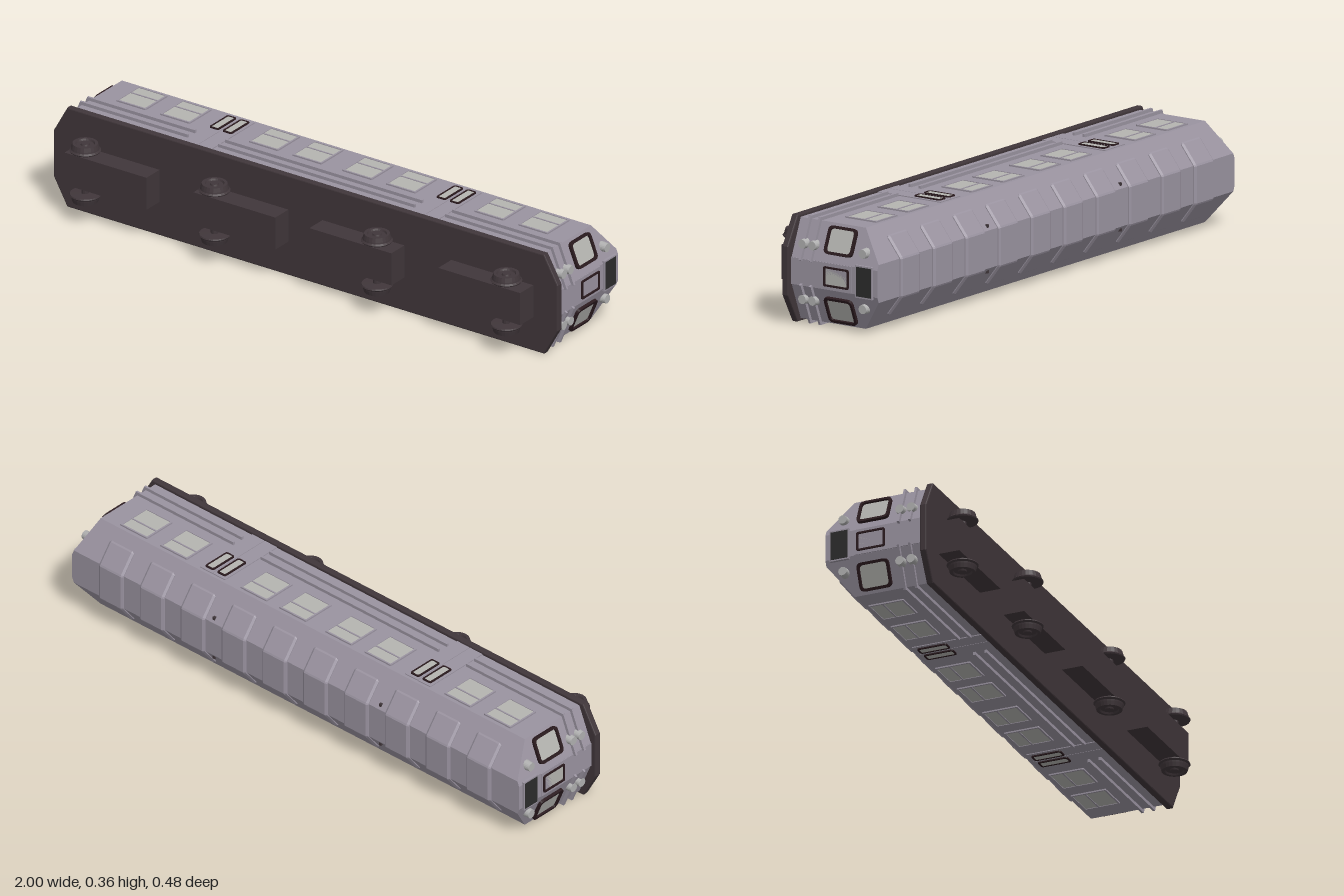
import * as THREE from 'three';
import { ConvexGeometry } from 'three/addons/geometries/ConvexGeometry.js';

const mat = (color) => new THREE.MeshStandardMaterial({ color, flatShading: true });
const bodyMat = mat(0x9a93a0), darkMat = mat(0x40363a), frameMat = mat(0x2a1a1e);
const paneMat = mat(0xb4b4b0), signMat = mat(0x2b2b2b), lampMat = mat(0xb0b0b0);

function add(parent, name, geometry, material, x = 0, y = 0, z = 0) {
  const mesh = new THREE.Mesh(geometry, material);
  mesh.name = name;
  mesh.position.set(x, y, z);
  parent.add(mesh);
  return mesh;
}
const box = (parent, name, material, size, pos) =>
  add(parent, name, new THREE.BoxGeometry(...size), material, ...pos);

function group(parent, name, x = 0, y = 0, z = 0, turn = 0) {
  const g = new THREE.Group();
  g.name = name;
  g.position.set(x, y, z);
  g.rotation.y = turn;
  parent.add(g);
  return g;
}

// Rounded rectangle centred on the origin
function roundRect(Type, w, h, r) {
  const s = new Type(), a = w / 2, b = h / 2;
  s.moveTo(-a + r, -b);
  s.lineTo(a - r, -b); s.quadraticCurveTo(a, -b, a, -b + r);
  s.lineTo(a, b - r); s.quadraticCurveTo(a, b, a - r, b);
  s.lineTo(-a + r, b); s.quadraticCurveTo(-a, b, -a, b - r);
  s.lineTo(-a, -b + r); s.quadraticCurveTo(-a, -b, -a + r, -b);
  return s;
}

// Framed pane facing +z of its parent
function framedPane(parent, name, x, y, w, h, t, r, depth, frame) {
  const g = group(parent, name, x, y, 0);
  const shape = roundRect(THREE.Shape, w, h, r);
  shape.holes.push(roundRect(THREE.Path, w - 2 * t, h - 2 * t, r * 0.7));
  add(g, 'frame', new THREE.ExtrudeGeometry(shape, { depth, bevelEnabled: false, curveSegments: 4 }), frame);
  box(g, 'pane', paneMat, [w - t, h - t, 0.004], [0, 0, 0.001]);
  return g;
}

const HALF = 0.168;           // half width of the body
const NOSE = 0.98, CORNER = 0.93, NOSE_HALF = 0.045;

function addBody(car) {
  const pts = [];
  for (const sx of [-1, 1]) for (const sz of [-1, 1]) {
    for (const [x, y, z] of [
      [CORNER, -0.112, HALF], [CORNER, 0.15, HALF], [0.9727, 0.232, 0.063],
      [NOSE, 0.232, NOSE_HALF], [NOSE, -0.112, NOSE_HALF],
    ]) pts.push(new THREE.Vector3(sx * x, y, sz * z));
  }
  add(car, 'body', new ConvexGeometry(pts), bodyMat);

  // Floor slab with chamfered corners and a small edge bevel
  const floor = new THREE.Shape([
    [-0.996, -0.08], [-0.943, -0.174], [0.943, -0.174], [0.996, -0.08],
    [0.996, 0.08], [0.943, 0.174], [-0.943, 0.174], [-0.996, 0.08],
  ].map(([x, y]) => new THREE.Vector2(x, y)));
  const geo = new THREE.ExtrudeGeometry(floor, { depth: 0.016, bevelThickness: 0.004, bevelSize: 0.004, bevelSegments: 2 });
  geo.rotateX(-Math.PI / 2);
  add(car, 'floor', geo, darkMat, 0, -0.131, 0);
}

// Raised panels that wrap over the roof
function addRoof(car) {
  const half = [[0.118, 0.170], [0.134, 0.183], [0.131, 0.189], [0.068, 0.238], [0.062, 0.241]];
  const outline = [...half, ...half.map(([z, y]) => [-z, y]).reverse()];
  const shape = new THREE.Shape(outline.map(([z, y]) => new THREE.Vector2(z, y)));
  for (let i = 0; i < 10; i++) {
    const geo = new THREE.ExtrudeGeometry(shape, {
      depth: 0.09, bevelThickness: 0.008, bevelSize: 0.005, bevelOffset: -0.005, bevelSegments: 1,
    });
    geo.translate(0, 0, -0.045).rotateY(Math.PI / 2);
    add(car, 'roofPanel', geo, bodyMat, (i - 4.5) * 0.179, 0, 0);
  }
  for (const x of [-0.365, 0.365]) for (const s of [-1, 1])
    box(car, 'roofLamp', darkMat, [0.01, 0.01, 0.01], [x, 0.222, s * 0.076]);
}

// Long wall: windows, double doors and ribs, facing +z
function addSide(car, turn, s) {
  const side = group(car, 'side', 0, 0, s * HALF, turn);
  for (const x of [-0.797, -0.622, -0.272, -0.1, 0.1, 0.272, 0.622, 0.797]) {
    const w = framedPane(side, 'window', x, 0.075, 0.117, 0.125, 0.006, 0.004, 0.005, bodyMat);
    box(w, 'sash', bodyMat, [0.11, 0.005, 0.004], [0, 0.012, 0.003]);
  }
  for (const x of [-0.45, 0.45]) {
    const door = group(side, 'door', x);
    for (const d of [-1, 1]) {
      box(door, 'leaf', bodyMat, [0.054, 0.25, 0.006], [d * 0.028, 0.014, 0]);
      const w = framedPane(door, 'doorWindow', d * 0.026, 0.075, 0.037, 0.105, 0.006, 0.008, 0.004, frameMat);
      w.position.z = 0.003;
    }
  }
  for (const y of [-0.03, -0.07])
    for (const [a, b] of [[-0.938, -0.51], [-0.39, 0.39], [0.51, 0.938]])
      box(side, 'rib', bodyMat, [b - a, 0.008, 0.02], [(a + b) / 2, y, 0.001]);
}

// Car end with a flat middle and two angled faces, pointing along +x
function addEnd(car, turn) {
  const end = group(car, 'end', 0, 0, 0, turn);
  const middle = group(end, 'middle', NOSE, 0, 0, Math.PI / 2);
  box(middle, 'endDoor', bodyMat, [0.089, 0.24, 0.006], [0, 0.008, 0]);
  framedPane(middle, 'endWindow', 0, 0.07, 0.066, 0.1, 0.006, 0.006, 0.008, frameMat);
  box(middle, 'signFrame', bodyMat, [0.108, 0.068, 0.012], [0, 0.181, 0]);
  box(middle, 'sign', signMat, [0.098, 0.06, 0.014], [0, 0.181, 0]);

  const angle = Math.atan2(HALF - NOSE_HALF, NOSE - CORNER);
  for (const s of [-1, 1]) {
    const face = group(end, 'angledFace', (NOSE + CORNER) / 2, 0, s * (HALF + NOSE_HALF) / 2,
      s > 0 ? angle : Math.PI - angle);
    framedPane(face, 'cornerWindow', -s * 0.008, 0.069, 0.095, 0.113, 0.009, 0.018, 0.01, frameMat);
    for (const y of [-0.03, -0.07])
      box(face, 'endRib', bodyMat, [0.148, 0.008, 0.022], [0, y, 0]);
    for (const y of [-0.03, -0.07, 0.172]) {
      const lamp = new THREE.CylinderGeometry(0.015, 0.018, 0.036, 20);
      lamp.rotateZ(-Math.PI / 2);
      add(end, 'headlight', lamp, lampMat, 0.962, y, s * 0.092);
    }
  }
}

// Underframe box with one axle and two flanged wheels
function addTruck(car, boxX, wheelX) {
  const truck = group(car, 'truck');
  box(truck, 'truckBox', darkMat, [0.325, 0.076, 0.115], [boxX, -0.17, 0]);
  const axle = new THREE.CylinderGeometry(0.0125, 0.0125, 0.17, 12).rotateX(Math.PI / 2);
  add(truck, 'axle', axle, darkMat, wheelX, -0.189, 0);
  const profile = [[0, 0.074], [0.05, 0.076], [0.052, 0.08], [0.047, 0.085], [0.046, 0.09],
    [0.042, 0.104], [0.032, 0.104], [0.029, 0.098], [0.015, 0.098], [0.013, 0.103], [0, 0.103]]
    .map(([r, h]) => new THREE.Vector2(r, h));
  for (const s of [-1, 1]) {
    const wheel = new THREE.LatheGeometry(profile, 24).rotateX(s * Math.PI / 2);
    add(truck, 'wheel', wheel, darkMat, wheelX, -0.189, 0);
  }
}

export function createModel() {
  const model = new THREE.Group();
  model.name = 'railCar';
  // The car rests on its side with the underframe towards the front
  const car = group(model, 'car', 0, 0.18, 0);
  car.rotation.x = -Math.PI / 2;
  addBody(car);
  addRoof(car);
  addSide(car, 0, 1);
  addSide(car, Math.PI, -1);
  addEnd(car, 0);
  addEnd(car, Math.PI);
  for (const s of [-1, 1]) {
    addTruck(car, s * 0.741, s * 0.835);
    addTruck(car, s * 0.23, s * 0.322);
  }
  return model;
}
